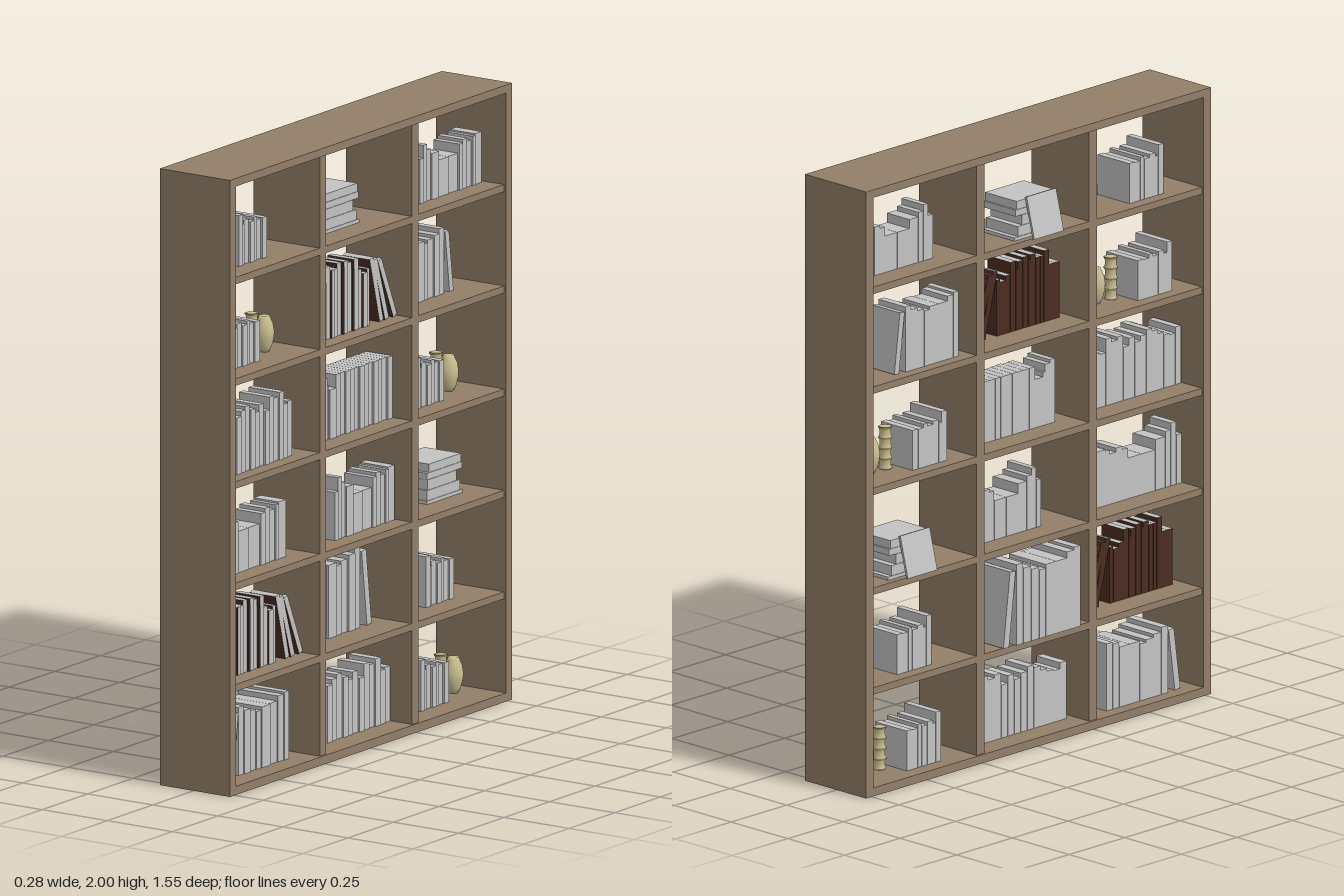
import * as THREE from 'three';

const mat = (name, color) => {
  const m = new THREE.MeshStandardMaterial({ color });
  m.name = name;
  return m;
};

export function createModel() {
  const root = new THREE.Group();
  root.name = 'bookcase';
  const wood = mat('brown wood', 0x937f69);
  const grey = mat('book grey', 0xc3c3c3);
  const leather = mat('dark leather', 0x4a2c20);
  const gold = mat('pale gold', 0xcabf90);
  const band = mat('dark gold', 0x8f8458);
  // leather book: grey spine (+x) and grey page top
  const bound = [grey, leather, grey, leather, leather, leather];

  // box given by its limits
  const box = (parent, name, material, x0, x1, y0, y1, z0, z1) => {
    const m = new THREE.Mesh(new THREE.BoxGeometry(x1 - x0, y1 - y0, z1 - z0), material);
    m.position.set((x0 + x1) / 2, (y0 + y1) / 2, (z0 + z1) / 2);
    m.name = name;
    parent.add(m);
    return m;
  };

  // ---- open carcass ----
  const X0 = -0.13, X1 = 0.14, Z = 0.775, T = 0.033;
  const frame = new THREE.Group();
  frame.name = 'frame';
  root.add(frame);
  for (const s of [-1, 1]) {
    const a = s * Z, b = s * (Z - T);
    box(frame, 'sidePanel', wood, X0, X1, 0, 2, Math.min(a, b), Math.max(a, b));
    box(frame, 'divider', wood, X0 + 0.008, X1 - 0.008, 0.026, 1.974, s * 0.253 - 0.0175, s * 0.253 + 0.0175);
  }
  box(frame, 'topPanel', wood, X0, X1, 1.974, 2, -Z + T, Z - T);
  box(frame, 'bottomPanel', wood, X0, X1, 0, 0.028, -Z + T, Z - T);

  const tops = [1.676, 1.347, 1.013, 0.684, 0.355, 0.028];
  const bays = [[0.2705, 0.742], [-0.2355, 0.2355], [-0.742, -0.2705]];
  for (const y of tops.slice(0, 5)) {
    for (const [z0, z1] of bays) {
      box(frame, 'shelf', wood, X0 + 0.02, X1 - 0.02, y - 0.017, y, z0, z1);
      box(frame, 'shelfEdge', wood, X0 + 0.008, X0 + 0.02, y - 0.023, y, z0, z1);
      box(frame, 'shelfEdge', wood, X1 - 0.02, X1 - 0.008, y - 0.023, y, z0, z1);
    }
  }

  // ---- book sets: [width, height] in hundredths; third value marks a leather spine ----
  const small = [[2.4, 16.5], [1.3, 13], [2.6, 14.2], [2.4, 13.2], [1.8, 14.2], [2.4, 13], [2.6, 13.2]];
  const dip = [[2.2, 14.5], [2.2, 18.5], [2.2, 16.5], [4, 15], [5.5, 12], [5.5, 12], [2.2, 15],
    [2.6, 16], [2.6, 14.8], [1.6, 16], [3.7, 16.5]];
  const mixed = [[2.4, 21.5], [2.6, 20.8], [4, 19.2], [4, 19.2], [2.4, 18.2], [3, 19], [3, 20], [2.6, 21.5]];
  const old = [[2.4, 18.5], [2.4, 18.5], [2.4, 23.5], [1.6, 22], [2, 22], [2.4, 23.5], [1, 22, 1], [2.4, 23.4],
    [2.2, 22.5], [1, 20, 1], [2.4, 23], [2.2, 19], [2.4, 17.5], [1.6, 18.5]];
  const full = [19, 17, 17.5, 18.5, 20, 21, 19.5, 18, 20, 17.5, 21.5, 20.5, 22, 17.5, 18].map(h => [2.6, h]);
  const series = [[2.2, 21], [2.2, 20], [1, 17.5], [3.6, 16], ...Array(12).fill([2.55, 20.2])];
  // leaning books: [bottom offset, top offset, height]
  const oldLean = [[34.5, 29, 22], [37.5, 31, 21.5], [42, 33.5, 21.5]];
  const mixedLean = [[27.8, 25.3, 20]];

  const newGroup = name => {
    const g = new THREE.Group();
    g.name = name;
    root.add(g);
    return g;
  };

  // row of upright books running from z towards -z (dir 1) or +z (dir -1)
  function bookRow(list, row, z, x0, x1, { sz = 1, sy = 1, dir = 1, leans = [], cover = grey } = {}) {
    const g = newGroup('bookRow');
    const y = tops[row];
    let at = 0;
    list.forEach(([w, h, dark], i) => {
      const a = z - dir * (at * sz + 0.0005), b = z - dir * ((at + w / 100) * sz - 0.0005);
      box(g, 'book', dark ? leather : cover, x0, x1 - (i * 7 % 3) * 0.003, y, y + h * sy / 100,
        Math.min(a, b), Math.max(a, b));
      at += w / 100;
    });
    for (const [b, t, h] of leans) {
      const len = h * sy / 100, w = 0.021 * sz;
      const tilt = dir * Math.asin((b - t) * sz / h / sy);
      const m = new THREE.Mesh(new THREE.BoxGeometry(x1 - x0, len, w), cover);
      m.name = 'leaningBook';
      m.rotation.x = tilt;
      m.position.set((x0 + x1) / 2,
        y + len / 2 * Math.cos(tilt) + w / 2 * Math.abs(Math.sin(tilt)),
        z - dir * (b + t) / 200 * sz);
      g.add(m);
    }
  }

  // pile of flat books with one book propped against its -x side
  function bookStack(row, z) {
    const g = newGroup('bookStack');
    let y = tops[row];
    for (const [len, h, start] of [[19.5, 1.2, 0], [18, 3.4, 0], [16, 3.4, 0.2], [19, 2.2, 0], [18.5, 2.8, 1]]) {
      box(g, 'flatBook', grey, -0.1, 0.04, y, y + h / 100 - 0.001, z - len / 100, z - start / 100);
      y += h / 100;
    }
    const prop = new THREE.Mesh(new THREE.BoxGeometry(0.008, 0.138, 0.132), grey);
    prop.name = 'proppedBook';
    prop.rotation.z = -0.25;
    prop.position.set(-0.119, tops[row] + 0.069, z - 0.08);
    g.add(prop);
  }

  // small ornaments turned on a lathe
  const turned = (parent, name, pts, material, y, z) => {
    const m = new THREE.Mesh(
      new THREE.LatheGeometry(pts.map(p => new THREE.Vector2(p[0], p[1])), 24), material);
    m.position.set(0, y, z);
    m.name = name;
    parent.add(m);
  };
  function ornaments(row, z) {
    const g = newGroup('ornaments');
    const y = tops[row];
    const pillar = [[0, 0], [0.021, 0]];
    for (let i = 0; i < 4; i++) {
      const b = i * 0.034;
      pillar.push([0.021, b + 0.004], [0.018, b + 0.01], [0.018, b + 0.026], [0.021, b + 0.032]);
    }
    pillar.push([0.021, 0.138], [0, 0.138]);
    turned(g, 'pillar', pillar, gold, y, z - 0.196);
    for (let i = 0; i < 4; i++) {
      const b = 0.032 + i * 0.034;
      turned(g, 'pillarBand', [[0.0215, b], [0.0225, b + 0.003], [0.0215, b + 0.006]], band, y, z - 0.196);
    }
    const vase = [[0, 0], [0.015, 0], [0.024, 0.018], [0.031, 0.045], [0.032, 0.065], [0.028, 0.09],
      [0.019, 0.11], [0.017, 0.116], [0, 0.114]];
    turned(g, 'vase', vase, gold, y, z - 0.265);
  }

  // ---- contents, shelf by shelf from the top ----
  bookRow(small, 0, 0.613, -0.08, 0.06);
  bookStack(0, 0.117);
  bookRow(dip, 0, -0.383, -0.04, 0.06);

  bookRow(small, 1, 0.652, -0.08, 0.06);
  ornaments(1, 0.652);
  bookRow(old, 1, 0.202, -0.025, 0.08, { leans: oldLean, cover: bound });
  bookRow(mixed, 1, -0.314, -0.085, 0.035, { leans: mixedLean });

  bookRow(full, 2, 0.737, -0.035, 0.085);
  bookRow(series, 2, 0.165, -0.04, 0.06);
  bookRow(small, 2, -0.361, -0.08, 0.06);
  ornaments(2, -0.361);

  bookRow(dip, 3, 0.74, -0.035, 0.065, { sz: 1.12, sy: 1.12 });
  bookRow(dip, 3, 0.102, -0.04, 0.072, { sz: 0.97, sy: 1.08 });
  bookStack(3, -0.451);

  bookRow(old, 4, 0.705, -0.03, 0.07, { leans: oldLean, cover: bound });
  bookRow(mixed, 4, 0.186, -0.132, 0.03, { sz: 1.2, sy: 1.24, leans: mixedLean });
  bookRow(small, 4, -0.43, -0.08, 0.05);

  bookRow(mixed, 5, 0.35, -0.086, 0.07, { sz: 1.15, sy: 1.03, dir: -1, leans: mixedLean });
  bookRow(full, 5, 0.207, -0.05, 0.055, { sz: 1.13 });
  bookRow(small, 5, -0.387, -0.08, 0.06);
  ornaments(5, -0.387);

  return root;
}
